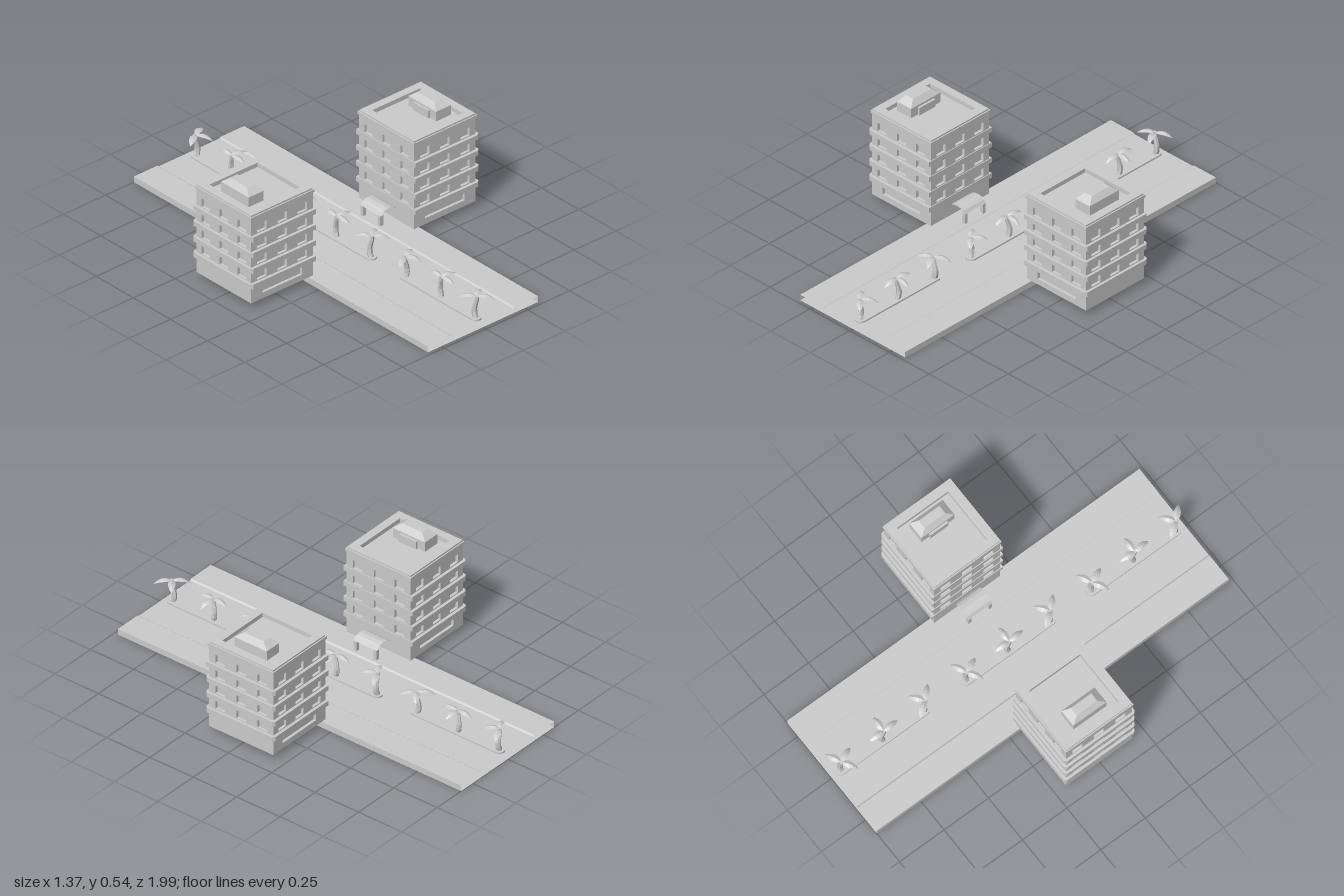
import * as THREE from 'three';

const mat = new THREE.MeshStandardMaterial({ color: 0xcccccc, flatShading: true });
const thinMat = new THREE.MeshStandardMaterial({ color: 0xcccccc, flatShading: true, side: THREE.DoubleSide });
const ZC = -0.01; // middle of the street along z

function add(parent, name, geometry, x = 0, y = 0, z = 0, material = mat) {
  const mesh = new THREE.Mesh(geometry, material);
  mesh.name = name;
  mesh.position.set(x, y, z);
  parent.add(mesh);
  return mesh;
}

const polygon = pts => new THREE.Shape(pts.map(p => new THREE.Vector2(p[0], p[1])));
const rect = (x0, y0, x1, y1) => [[x0, y0], [x1, y0], [x1, y1], [x0, y1]];

// Prism standing on y = 0 from a plan outline
function prism(shape, height) {
  return new THREE.ExtrudeGeometry(shape, { depth: height, bevelEnabled: false, curveSegments: 8 }).rotateX(-Math.PI / 2);
}

// Open sheet: an x-y profile swept along z
function sheet(profile, length) {
  const geo = new THREE.PlaneGeometry(1, length, profile.length - 1, 1).rotateX(-Math.PI / 2);
  const pos = geo.attributes.position;
  for (let i = 0; i < pos.count; i++) {
    const [x, y] = profile[i % profile.length];
    pos.setXY(i, x, y);
  }
  geo.computeVertexNormals();
  return geo;
}

// Wall with three columns and four rows of window openings
function wallGeometry(halfWidth, depth, hasShopfront) {
  const shape = polygon(rect(-halfWidth, 0.03, halfWidth, 0.467));
  const hole = (x0, y0, x1, y1) => shape.holes.push(polygon(rect(x0, y0, x1, y1)));
  for (let row = 0; row < 4; row++) {
    for (let col = -1; col <= 1; col++) {
      const x = col * 0.121, y = 0.14 + row * 0.082;
      hole(x - 0.028, y, x + 0.028, y + 0.043);
    }
  }
  if (hasShopfront) hole(-0.118, 0.06, 0.118, 0.106);
  return new THREE.ExtrudeGeometry(shape, { depth, bevelEnabled: false });
}

// Penthouse hip roof: a box whose top is pulled inwards
function hipRoof() {
  const geo = new THREE.BoxGeometry(0.088, 0.028, 0.186);
  const pos = geo.attributes.position;
  for (let i = 0; i < pos.count; i++) {
    if (pos.getY(i) > 0) {
      pos.setX(i, pos.getX(i) * 0.5);
      pos.setZ(i, pos.getZ(i) * 0.62);
    }
  }
  geo.computeVertexNormals();
  return geo;
}

// Apartment block, street side towards local +x
function createBuilding() {
  const g = new THREE.Group();
  const half = 0.185, t = 0.014;
  add(g, 'buildingCore', new THREE.BoxGeometry(2 * (half - t), 0.435, 2 * (half - t)), 0, 0.2475, 0);
  for (let side = 0; side < 4; side++) {
    const alongX = side % 2 === 0;
    const pivot = new THREE.Group();
    pivot.name = 'wallSide';
    pivot.rotation.y = side * Math.PI / 2;
    add(pivot, 'windowWall', wallGeometry(alongX ? half : half - t, t, alongX), 0, 0, half - t);
    g.add(pivot);
  }

  // Floor bands, projecting less on the street side
  const band = polygon([[-0.186, -0.2], [0.189, -0.2], [0.189, 0.2], [-0.186, 0.2], [-0.198, 0.188], [-0.198, -0.188]]);
  for (let i = 0; i < 4; i++) add(g, 'floorBand', prism(band, 0.025), 0, 0.11 + i * 0.082, 0);

  // Parapet: wide lower ring and a slightly smaller coping
  for (const [r, y, h] of [[0.19, 0.465, 0.014], [0.184, 0.479, 0.008]]) {
    const ring = polygon(rect(-r, -r, r, r));
    ring.holes.push(polygon(rect(-0.143, -0.143, 0.143, 0.143)));
    add(g, 'parapet', prism(ring, h), 0, y, 0);
  }

  // Roof access housing
  add(g, 'penthouse', new THREE.BoxGeometry(0.088, 0.054, 0.186), -0.074, 0.488, 0);
  add(g, 'penthouseRoof', hipRoof(), -0.074, 0.529, 0);
  add(g, 'penthouseDoor', new THREE.BoxGeometry(0.012, 0.04, 0.1), -0.025, 0.485, 0);

  // Arched entrance canopy on two posts
  const arch = [[0.185, 0.085], [0.196, 0.097], [0.212, 0.104], [0.235, 0.106], [0.256, 0.102], [0.27, 0.094], [0.28, 0.08]];
  add(g, 'entranceCanopy', sheet(arch, 0.135), 0, 0, 0, thinMat);
  for (const s of [-1, 1]) add(g, 'canopyPost', new THREE.BoxGeometry(0.02, 0.052, 0.016), 0.272, 0.055, s * 0.058);
  return g;
}

// Drooping pointed leaf, growing along +x
function frondGeometry() {
  const geo = new THREE.PlaneGeometry(1, 2, 6, 2).rotateX(-Math.PI / 2);
  const pos = geo.attributes.position;
  for (let i = 0; i < pos.count; i++) {
    const u = pos.getX(i) + 0.5, v = pos.getZ(i);
    const w = 0.003 + 0.014 * Math.sin(Math.PI * Math.pow(u, 0.8));
    pos.setXYZ(i, u * 0.084, 0.05 * u - 0.064 * u * u - Math.abs(v) * w * 0.4, v * w * (u > 0.99 ? 0 : 1));
  }
  geo.computeVertexNormals();
  return geo;
}

// Tapering trunk with a gentle bend
function trunkGeometry() {
  const geo = new THREE.CylinderGeometry(0.009, 0.015, 0.115, 6, 5);
  const pos = geo.attributes.position;
  for (let i = 0; i < pos.count; i++) {
    const h = pos.getY(i) / 0.115 + 0.5;
    const lean = 0.008 * Math.sin(h * Math.PI * 1.5);
    pos.setX(i, pos.getX(i) + lean);
  }
  geo.computeVertexNormals();
  return geo;
}

const frond = frondGeometry(), trunk = trunkGeometry();

function createPalm(turn) {
  const g = new THREE.Group();
  g.name = 'palm';
  add(g, 'palmTrunk', trunk, 0, 0.085, 0);
  for (const deg of [-25, 66, 148]) {
    const leaf = add(g, 'palmFrond', frond, -0.004, 0.141, 0, thinMat);
    leaf.rotation.y = -THREE.MathUtils.degToRad(deg);
  }
  g.rotation.y = THREE.MathUtils.degToRad(turn);
  return g;
}

export function createModel() {
  const model = new THREE.Group();
  model.name = 'streetWithApartments';

  // Roadway with raised pavements, open at both ends
  const profile = [[-0.33, 0], [-0.33, 0.03], [-0.19, 0.03], [-0.182, 0.024], [0.182, 0.024],
    [0.19, 0.03], [0.33, 0.03], [0.33, 0], [-0.33, 0]];
  add(model, 'roadway', sheet(profile, 1.98), 0, 0, ZC, thinMat);

  // Round-ended median islands, three palms on each
  const island = new THREE.Shape();
  island.absarc(0, 0.236, 0.026, 0, Math.PI);
  island.absarc(0, -0.236, 0.026, Math.PI, Math.PI * 2);
  const islandGeo = prism(island, 0.008);
  for (let k = -1; k <= 1; k++) {
    const zk = ZC + k * 0.705;
    add(model, 'medianIsland', islandGeo, 0, 0.024, zk);
    [0, 62, 103].forEach((turn, i) => {
      const palm = createPalm(turn);
      palm.position.z = zk + (i - 1) * 0.236;
      model.add(palm);
    });
  }

  // Facing apartment blocks
  for (const s of [-1, 1]) {
    const building = createBuilding();
    building.name = s > 0 ? 'leftBuilding' : 'rightBuilding';
    building.position.set(s * 0.487, 0, ZC);
    if (s > 0) building.rotation.y = Math.PI;
    model.add(building);
  }
  return model;
}
